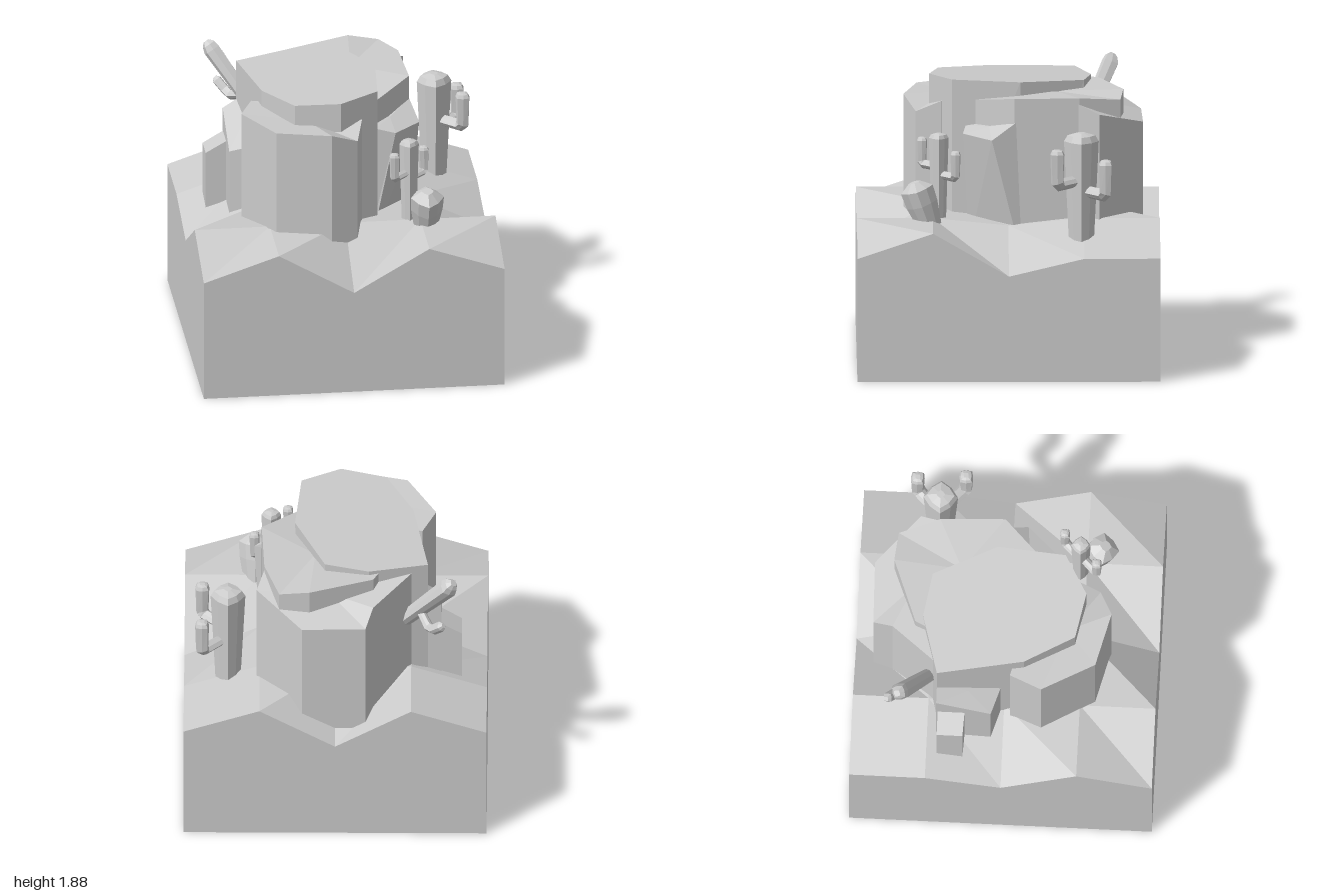
import * as THREE from 'three';

const mat = new THREE.MeshStandardMaterial({ color: 0xcccccc, flatShading: true });

// Skin a closed solid over a list of rings of [x, y, z] points
function loft(name, rings) {
  const pos = [];
  const tri = (...pts) => pts.forEach((p) => pos.push(...p));
  const n = rings[0].length;
  for (let k = 0; k < rings.length - 1; k++) {
    for (let i = 0; i < n; i++) {
      const j = (i + 1) % n, a = rings[k], b = rings[k + 1];
      tri(a[i], b[i], a[j]);
      tri(a[j], b[i], b[j]);
    }
  }
  const cap = (ring, up) => {
    const c = [0, 1, 2].map((d) => ring.reduce((s, p) => s + p[d], 0) / n);
    ring.forEach((p, i) => {
      const q = ring[(i + 1) % n];
      if (up) tri(c, q, p); else tri(c, p, q);
    });
  };
  cap(rings[0], false);
  cap(rings[rings.length - 1], true);
  const geo = new THREE.BufferGeometry();
  geo.setAttribute('position', new THREE.Float32BufferAttribute(pos, 3));
  geo.computeVertexNormals();
  const mesh = new THREE.Mesh(geo, mat);
  mesh.name = name;
  return mesh;
}

// Rock column: top corners [x, z, y], optional foot corners [x, z]
function rock(name, top, foot = top) {
  const area = top.reduce((s, p, i) => {
    const q = top[(i + 1) % top.length];
    return s + p[0] * q[1] - q[0] * p[1];
  }, 0);
  const rings = [foot.map(([x, z]) => [x, 0.72, z]), top.map(([x, z, y]) => [x, y, z])];
  if (area < 0) rings.forEach((r) => r.reverse());
  return loft(name, rings);
}

// Eight-sided limb with four stronger ribs, swept along stations [x, y, z, radius]
function limb(name, stations, side) {
  const pts = stations.map((s) => new THREE.Vector3(s[0], s[1], s[2]));
  const rings = pts.map((p, k) => {
    const t = new THREE.Vector3();
    if (k > 0) t.add(p.clone().sub(pts[k - 1]).normalize());
    if (k < pts.length - 1) t.add(pts[k + 1].clone().sub(p).normalize());
    t.normalize();
    const u = new THREE.Vector3().crossVectors(side, t).normalize();
    const v = new THREE.Vector3().crossVectors(t, u);
    return Array.from({ length: 8 }, (_, i) => {
      const a = (i * Math.PI) / 4, r = stations[k][3] * (i % 2 ? 0.84 : 1);
      return p.clone().addScaledVector(v, r * Math.cos(a)).addScaledVector(u, r * Math.sin(a)).toArray();
    });
  });
  return loft(name, rings);
}

// Upright cactus; each arm is { to: [x, z], elbow, tip }
function cactus(name, x, z, y0, y1, r, armR, arms) {
  const g = new THREE.Group();
  g.name = name;
  g.add(limb('cactusTrunk', [
    [x, y0, z, r * 0.72], [x, y1 - r * 0.5, z, r], [x, y1 - r * 0.15, z, r * 0.8], [x, y1, z, r * 0.25],
  ], new THREE.Vector3(1, 0, 0)));
  arms.forEach(({ to: [ax, az], elbow, tip }) => {
    const d = new THREE.Vector3(ax - x, 0, az - z).normalize();
    const side = new THREE.Vector3(-d.z, 0, d.x);
    const b = armR * 0.5;
    g.add(limb('cactusArm', [
      [x, elbow, z, armR * 0.8],
      [ax - d.x * b, elbow, az - d.z * b, armR * 0.9],
      [ax, elbow + b, az, armR],
      [ax, tip - armR * 0.6, az, armR * 1.1],
      [ax, tip - armR * 0.15, az, armR * 0.85],
      [ax, tip, az, armR * 0.4],
    ], side));
  });
  return g;
}

// Block of ground with a folded top
function ground() {
  const heights = [
    [0.83, 1, 0.71, 1, 0.83],
    [0.83, 1, 1, 1, 0.83],
    [0.71, 0.95, 1, 0.95, 0.71],
    [1, 1, 1, 1, 1],
    [0.83, 1, 0.71, 1, 0.83],
  ];
  const geo = new THREE.BoxGeometry(2, 1, 2, 4, 1, 4).translate(0, 0.5, 0);
  const p = geo.attributes.position;
  for (let i = 0; i < p.count; i++) {
    if (p.getY(i) < 0.5) continue;
    p.setY(i, heights[Math.round((p.getZ(i) + 1) * 2)][Math.round((p.getX(i) + 1) * 2)]);
  }
  geo.computeVertexNormals();
  const mesh = new THREE.Mesh(geo, mat);
  mesh.name = 'ground';
  return mesh;
}

export function createModel() {
  const model = new THREE.Group();
  model.name = 'desertRock';
  model.add(ground());

  // Tall central column with a gently tilted top
  const tall = [[-0.61, -0.44], [-0.22, -0.55], [0.07, -0.5], [0.27, -0.08], [0.23, 0.37],
    [-0.03, 0.52], [-0.33, 0.46], [-0.51, 0.13]];
  const tallFoot = tall.map(([x, z]) => [Math.min(x, 0.23), z]);
  model.add(rock('centralRock', tall.map(([x, z]) => [x, z, 1.85 + 0.07 * x + 0.03 * z]), tallFoot));

  // Surrounding columns
  model.add(rock('frontRock', [[-0.57, 0.04, 1.71], [-0.66, 0.25, 1.71], [-0.47, 0.6, 1.71],
    [-0.11, 0.69, 1.71], [0.07, 0.61, 1.63], [0.12, 0.44, 1.71], [0, 0.2, 1.71]]));
  model.add(rock('leftRock', [[0.49, -0.04, 1.8], [0.47, -0.47, 1.8], [0.37, -0.74, 1.77],
    [0.17, -0.76, 1.8], [-0.25, -0.6, 1.79], [-0.4, -0.3, 1.79], [0, 0.2, 1.75], [0.22, 0.24, 1.74]]));
  model.add(rock('backRock', [[0.47, -0.46, 1.76], [0.52, -0.6, 1.7], [0.22, -0.89, 1.59],
    [-0.2, -0.88, 1.59], [-0.25, -0.75, 1.67], [-0.52, -0.45, 1.75], [0, -0.3, 1.75]]));
  model.add(rock('overhangRock',
    [[0.49, -0.05, 1.64], [0.54, 0.11, 1.53], [0.36, 0.3, 1.54], [0.23, 0.28, 1.57], [0.1, 0, 1.64]],
    [[0.47, -0.08], [0.49, -0.09], [0.2, 0.26], [0.18, 0.25], [0.1, 0]]));
  model.add(rock('sideRock', [[-0.7, -0.44, 1.46], [-0.7, -0.08, 1.3], [-0.53, -0.02, 1.36],
    [-0.45, -0.2, 1.5], [-0.58, -0.44, 1.54]]));
  model.add(rock('stepRock', [[-0.835, -0.43, 1.22], [-0.835, -0.26, 1.22], [-0.65, -0.25, 1.33],
    [-0.65, -0.43, 1.33]]));

  // Standing cacti
  model.add(cactus('largeCactus', 0.71, -0.48, 0.89, 1.62, 0.115, 0.05, [
    { to: [0.88, -0.32], elbow: 1.3, tip: 1.54 },
    { to: [0.88, -0.64], elbow: 1.23, tip: 1.47 },
  ]));
  model.add(cactus('smallCactus', 0.43, 0.46, 0.93, 1.56, 0.065, 0.036, [
    { to: [0.32, 0.57], elbow: 1.33, tip: 1.51 },
    { to: [0.54, 0.35], elbow: 1.28, tip: 1.46 },
  ]));

  // Leaning barrel cactus
  model.add(limb('barrelCactus', [
    [0.535, 0.93, 0.51, 0.075], [0.535, 1.1, 0.57, 0.105], [0.535, 1.2, 0.605, 0.11], [0.535, 1.25, 0.62, 0.04],
  ], new THREE.Vector3(1, 0, 0)));

  // Cactus growing sideways out of the rock
  const slanted = new THREE.Group();
  slanted.name = 'slantedCactus';
  const side = new THREE.Vector3(0.55, 0, -0.83);
  slanted.add(limb('cactusTrunk', [
    [-0.46, 1.38, -0.48, 0.05], [-0.745, 1.78, -0.675, 0.065], [-0.765, 1.815, -0.685, 0.052],
    [-0.78, 1.835, -0.695, 0.025],
  ], side));
  slanted.add(limb('cactusArm', [
    [-0.56, 1.5, -0.55, 0.03], [-0.62, 1.45, -0.67, 0.034], [-0.65, 1.47, -0.72, 0.036],
    [-0.7, 1.525, -0.76, 0.036], [-0.715, 1.54, -0.77, 0.018],
  ], new THREE.Vector3(0.8, 0, -0.6)));
  model.add(slanted);
  return model;
}
